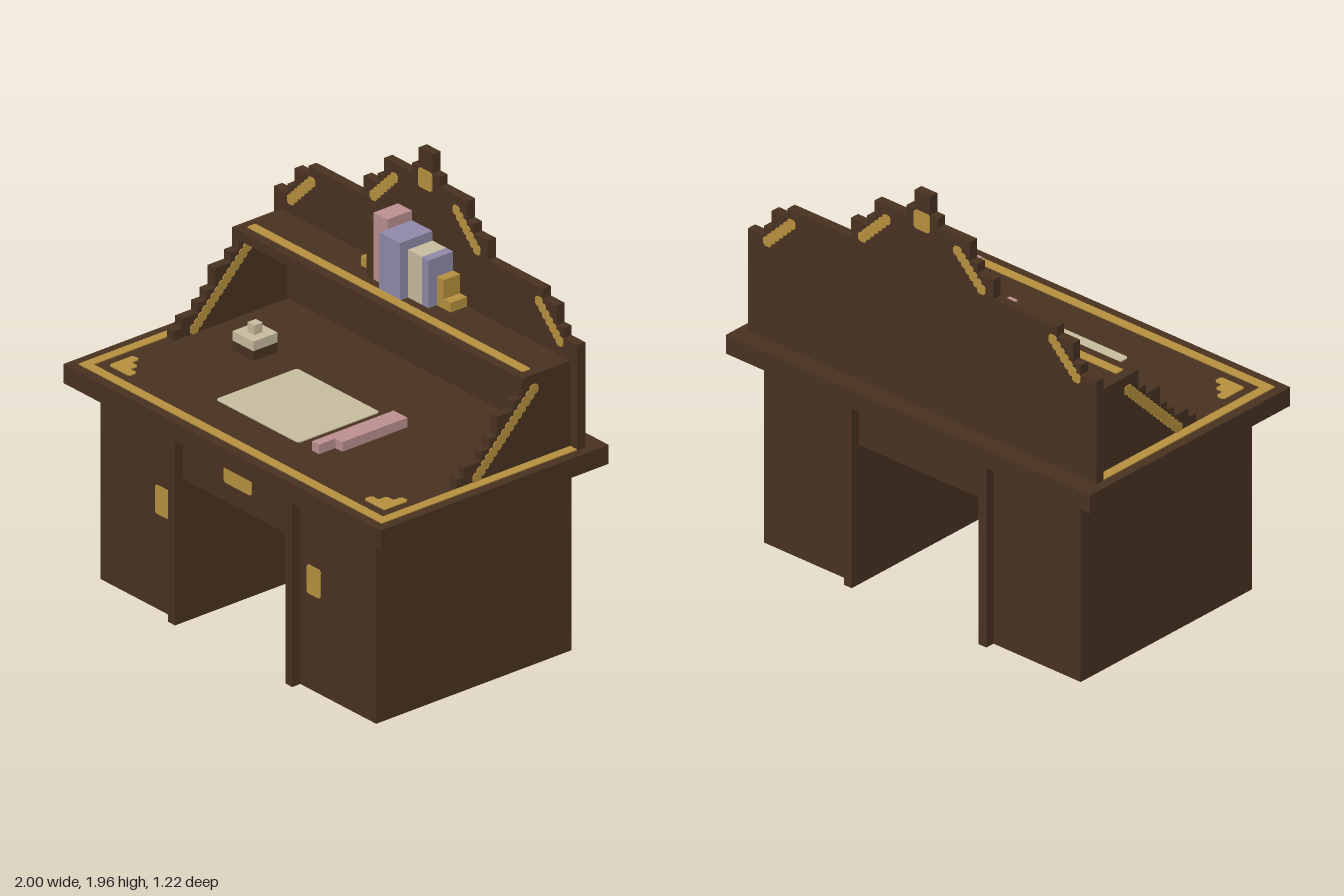
import * as THREE from 'three';

const UNIT = 1 / 23; // one block; all sizes below are in blocks

export function createModel() {
  const mat = (name, color) => Object.assign(new THREE.MeshStandardMaterial({ color }), { name });
  const wood = mat('dark wood', 0x4a3322);
  const gold = mat('gold', 0xb8923f);
  const cream = mat('cream', 0xc9bea0);
  const pink = mat('dusty pink', 0xbe9192);
  const purple = mat('lavender', 0x928bab);

  const desk = new THREE.Group();
  desk.name = 'writingDesk';
  desk.scale.setScalar(UNIT);

  const add = (name, geometry, material) => {
    const mesh = new THREE.Mesh(geometry, material);
    mesh.name = name;
    desk.add(mesh);
    return mesh;
  };
  // Box from its lower and upper corners
  const box = (name, material, x0, x1, y0, y1, z0, z1) => {
    const mesh = add(name, new THREE.BoxGeometry(x1 - x0, y1 - y0, z1 - z0), material);
    mesh.position.set((x0 + x1) / 2, (y0 + y1) / 2, (z0 + z1) / 2);
    return mesh;
  };
  const extrude = (shapes, depth) => new THREE.ExtrudeGeometry(shapes, { depth, bevelEnabled: false });
  const polygon = (pts) => new THREE.Shape(pts.map(([x, y]) => new THREE.Vector2(x, y)));

  // Thin plate made of rectangles [u0, u1, v0, v1] with clipped corners
  const facing = { front: [0, 0], back: [0, Math.PI], up: [-Math.PI / 2, 0], right: [0, Math.PI / 2], left: [0, -Math.PI / 2] };
  const plate = (name, material, side, offset, rects, c = 0.22) => {
    const shapes = rects.map(([a, b, d, e]) => polygon([
      [a + c, d], [b - c, d], [b, d + c], [b, e - c], [b - c, e], [a + c, e], [a, e - c], [a, d + c],
    ]));
    const geometry = extrude(shapes, 0.1);
    geometry.translate(0, 0, offset);
    geometry.rotateX(facing[side][0]).rotateY(facing[side][1]);
    return add(name, geometry, material);
  };
  // Diagonal chain of overlapping unit squares going right and up or down
  const chain = (u, v, count, dv) => Array.from({ length: count * 2 - 1 }, (_, i) => {
    const a = u + i / 2, b = v + (i / 2) * dv;
    return [a, a + 1, b, b + 1];
  });
  const mirror = (rects) => rects.map(([a, b, d, e]) => [-b, -a, d, e]);

  // Pedestals with corner pillars and door plates
  for (const s of [-1, 1]) {
    const span = (a, b) => (s > 0 ? [a, b] : [-b, -a]);
    box('pedestal', wood, ...span(8, 20), 0, 20, -12, 12);
    box('frontPillar', wood, ...span(8, 9), 0, 20, 12, 13);
    box('backPillar', wood, ...span(8, 9), 0, 20, -13, -12);
    plate('doorPlate', gold, 'front', 12, [[...span(10, 12), 10, 13]]);
  }

  // Centre drawer and desktop
  box('drawer', wood, -8, 8, 15, 20, -12, 12);
  plate('drawerPlate', gold, 'front', 12, [[-2, 2, 17, 19]]);
  box('desktop', wood, -23, 23, 20, 22, -14, 14);

  // Desktop inlay: side bands, front band and stepped corners
  plate('desktopBorder', gold, 'up', 22, [[-22, -21, -13, 11], [21, 22, -13, 11], [-22, 22, -13, -12]], 0.01);
  const corner = [[17, 20, -11, -10], [18, 20, -10.5, -9], [19, 20, -9.5, -8]];
  plate('cornerInlay', gold, 'up', 22, [...corner, ...mirror(corner)]);

  // Stepped back board
  const steps = [[22, 33], [20, 34], [19, 36], [17, 37], [9, 39], [7, 40], [6, 42], [2, 43], [1, 45]];
  const half = [];
  let level = 22;
  for (const [x, y] of steps) {
    half.push([x, level], [x, y]);
    level = y;
  }
  const outline = [...half, ...half.map(([x, y]) => [-x, y]).reverse()];
  add('backBoard', extrude(polygon(outline), 1), wood).position.z = -12;

  // Gold trim on both faces of the back board
  const trim = [...chain(4, 40, 4, -1), ...chain(16, 35, 4, -1)];
  const crest = [...trim, ...mirror(trim), [-1, 1, 41, 43]];
  plate('crestTrimFront', gold, 'front', -11, crest);
  plate('crestTrimBack', gold, 'back', 12, crest);

  // Shelf with inlay, and stepped side panels with diagonal trim
  box('shelf', wood, -20, 20, 30, 31, -11, 5 - 10);
  plate('shelfInlay', gold, 'up', 31, [[-20, 20, 6, 7]], 0.1);
  const panel = polygon([
    [-3, 22], [11, 22], [11, 31], [5, 31], [5, 29], [4, 29], [4, 28], [2, 28], [2, 26],
    [1, 26], [1, 25], [0, 25], [0, 24], [-2, 24], [-2, 23], [-3, 23],
  ]);
  const diagonal = chain(-1, 22, 8, 1);
  for (const x of [-21, 20]) {
    const mesh = add('sidePanel', extrude(panel, 1).rotateY(Math.PI / 2), wood);
    mesh.position.x = x;
    plate('sideTrim', gold, 'right', x + 1, diagonal);
    plate('sideTrim', gold, 'left', -x, mirror(diagonal));
  }

  // Books between two stepped bookends
  const books = [
    [wood, -5, -4, 37, -8], [pink, -4, -2, 38, -8], [purple, -2, 1, 37, -7],
    [cream, 1, 3, 36, -8], [purple, 3, 4, 36, -8],
  ];
  for (const [material, x0, x1, top, front] of books) box('book', material, x0, x1, 31, top, -11, front);
  box('leftBookend', gold, -6, -5, 31, 34, -11, -9);
  box('leftBookendFoot', gold, -7, -6, 31, 32, -11, -9);
  box('rightBookend', gold, 4, 5, 31, 34, -11, -9);
  box('rightBookendFoot', gold, 5, 6, 31, 32, -11, -9);

  // Paper, pen and inkwell
  plate('paper', cream, 'up', 22, [[-8, 4, -8, 2]]);
  box('pen', pink, 6, 8, 22, 23, -2, 6);
  box('penTip', pink, 6, 7, 22, 23, 6, 8);
  box('inkwellBase', wood, -15, -12, 22, 23, -3, 0);
  box('inkwell', cream, -15, -12, 23, 24, -3, 0);
  box('inkwellStopper', cream, -14, -13, 24, 25, -2, -1);

  const model = new THREE.Group();
  model.name = 'model';
  model.add(desk);
  return model;
}
